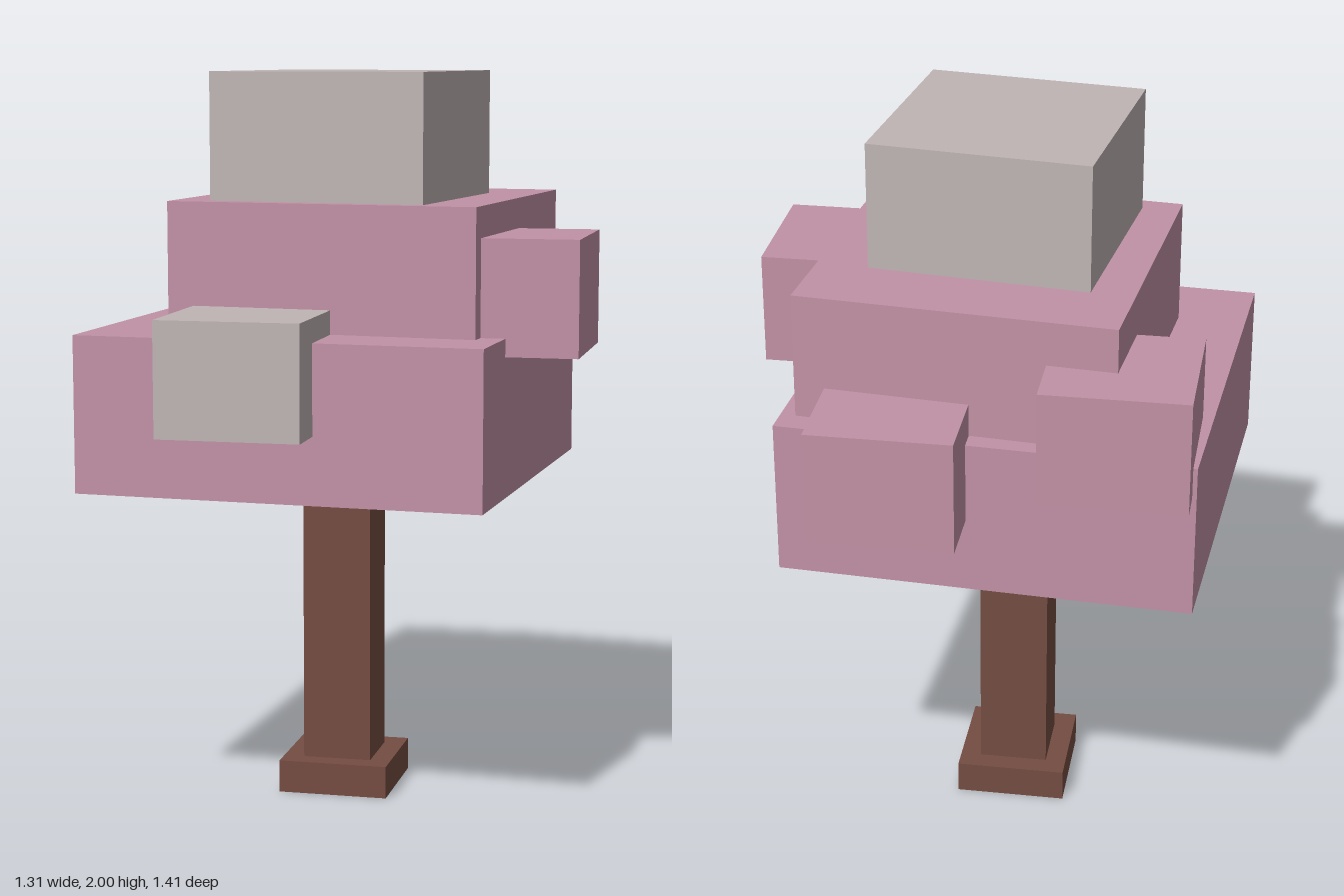
import * as THREE from 'three';

export function createModel() {
  const group = new THREE.Group();
  const mat = (name, color) => {
    const m = new THREE.MeshStandardMaterial({ color });
    m.name = name;
    return m;
  };
  const pink = mat('pinkBlossom', 0xc292a6);
  const pale = mat('paleBlossom', 0xc0b5b5);
  const bark = mat('bark', 0x754d43);

  // Square block: centre x/z, width, bottom and top heights, turn about y
  const block = (name, material, x, z, width, y0, y1, turn = 0) => {
    const mesh = new THREE.Mesh(new THREE.BoxGeometry(width, y1 - y0, width), material);
    mesh.name = name;
    mesh.position.set(x, (y0 + y1) / 2, z);
    mesh.rotation.y = turn;
    group.add(mesh);
  };

  // Trunk
  block('trunkBase', bark, -0.055, -0.019, 0.304, 0, 0.09);
  block('trunk', bark, -0.055, -0.019, 0.19, 0.09, 0.9);

  // Stacked canopy, each tier turned a little further
  block('lowerCanopy', pink, -0.07, 0.015, 1.103, 0.9, 1.32, -0.063);
  block('middleCanopy', pink, 0.008, -0.051, 0.849, 1.32, 1.66, -0.094);
  block('topCanopy', pale, -0.018, 0.03, 0.594, 1.66, 2, -0.118);

  // Leaf clumps poking out of the sides
  block('leftClump', pink, 0.46, 0.173, 0.382, 1.272, 1.578);
  block('frontClump', pale, -0.192, 0.512, 0.382, 1.08, 1.384);
  block('backClump', pink, 0.199, -0.514, 0.382, 1.103, 1.408);
  block('backRightClump', pink, -0.383, -0.471, 0.382, 1.236, 1.542);

  return group;
}
